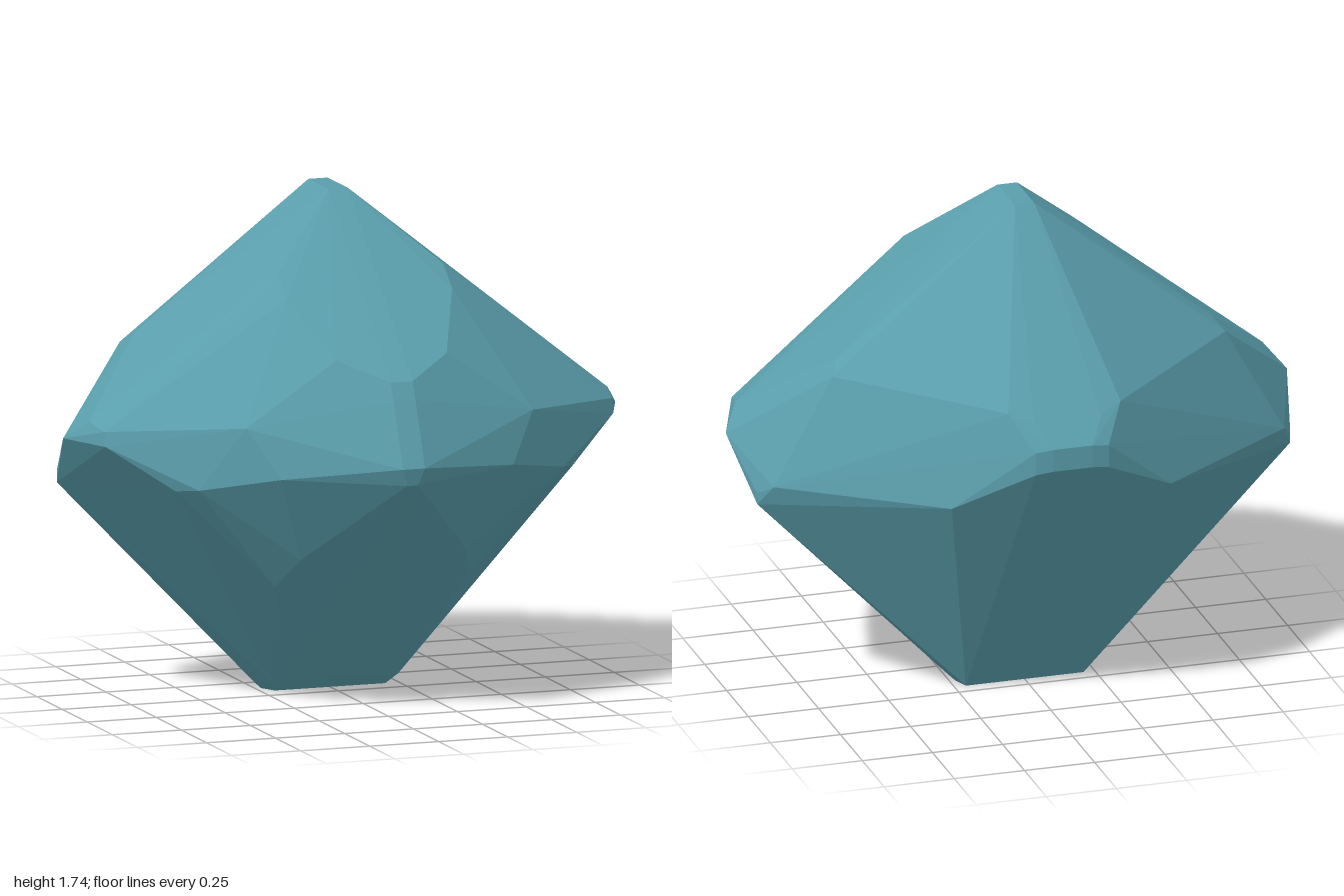
import * as THREE from 'three';
import { ConvexGeometry } from 'three/addons/geometries/ConvexGeometry.js';

// Corners of the cut stone for x >= 0; each is mirrored to the other side.
const crown = [ // top ridge and upper facets
  [0.035, 1.74, 0], [0.035, 1.74, -0.2],
  [0.3, 1.5, 0.22], [0.3, 1.43, 0.31], [0.2, 1.25, 0.53], [0.04, 1.18, 0.63],
  [0.67, 1.25, -0.19], [0.7, 1.21, -0.25], [0.2, 1.17, -0.655], [0.12, 1.14, -0.69]
];
const girdle = [ // widest belt around the stone
  [0.04, 1.12, 0.66], [0.52, 1.03, 0.51], [0.04, 0.9, 0.755], [0.48, 0.88, 0.54],
  [0.42, 0.86, 0.59], [0.92, 0.99, 0.2], [0.94, 1.01, 0.1], [1, 0.94, 0.01],
  [0.95, 0.79, -0.19], [0.91, 0.83, -0.25],
  [0.39, 0.83, -0.62], [0.13, 1.05, -0.745], [0.07, 1.06, -0.755], [0.07, 0.98, -0.755], [0.13, 0.97, -0.745]
];
const base = [ // lower facets down to the small foot
  [0.02, 0.84, 0.74], [0.66, 0.81, 0.43], [0.72, 0.8, 0.36], [0.92, 0.94, 0.21],
  [0.3, 0.55, 0.45], [0.35, 0.44, 0.33], [0.95, 0.75, -0.19],
  [0.23, 0.04, -0.035], [0.27, 0.04, -0.14], [0.2, 0, -0.08], [0.23, 0, -0.14], [0.21, 0, -0.2]
];

export function createModel() {
  const teal = new THREE.MeshStandardMaterial({ color: 0x5a9eac });
  teal.name = 'teal stone';

  const points = [...crown, ...girdle, ...base].flatMap(([x, y, z]) => [
    new THREE.Vector3(x, y, z), new THREE.Vector3(-x, y, z)
  ]);
  const stone = new THREE.Mesh(new ConvexGeometry(points), teal);
  stone.name = 'facetedStone';

  const model = new THREE.Group();
  model.name = 'gemstone';
  model.add(stone);
  return model;
}
